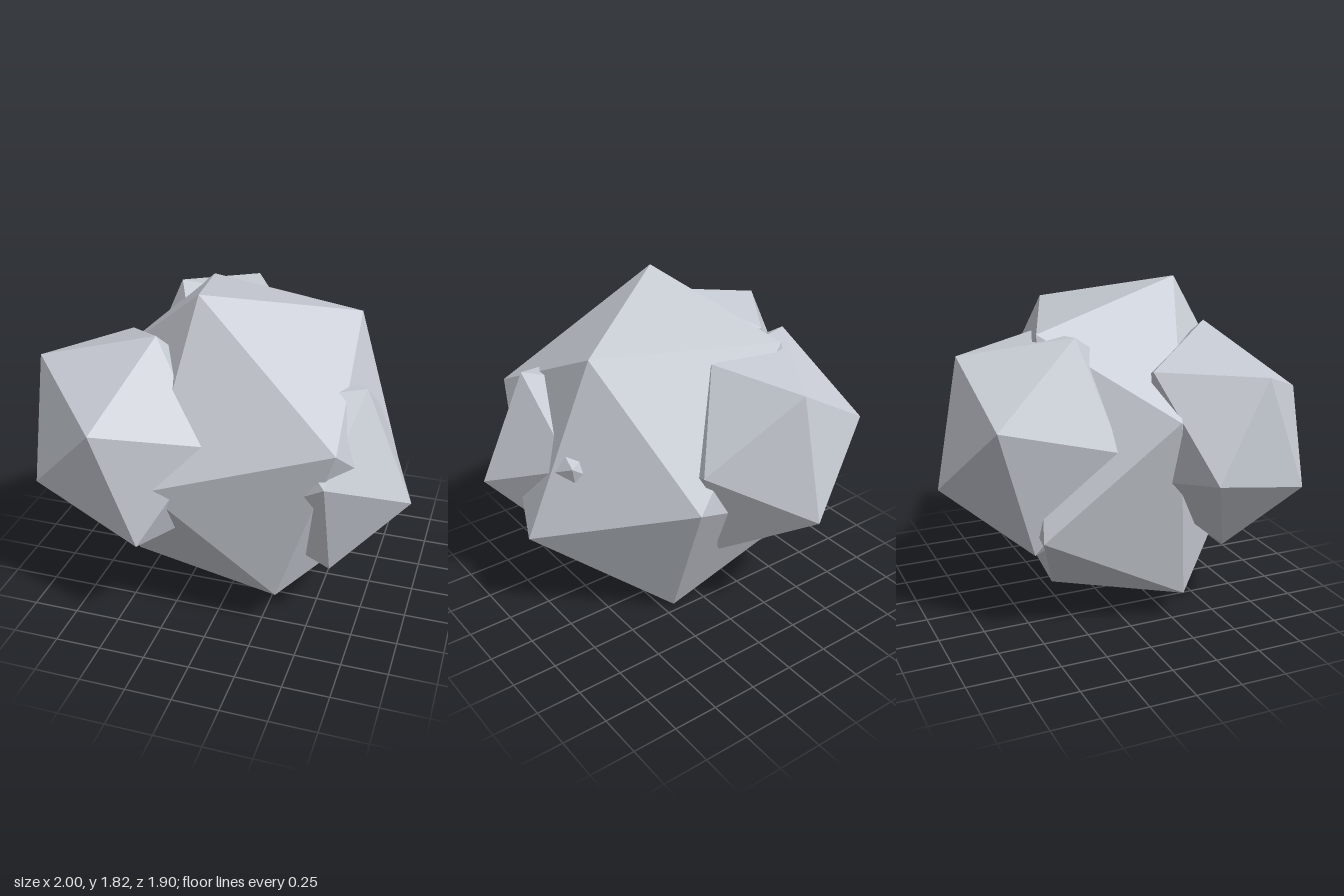
import * as THREE from 'three';
import { ConvexGeometry } from 'three/addons/geometries/ConvexGeometry.js';

const stone = new THREE.MeshStandardMaterial({ color: 0xc8ccd4 });
stone.name = 'pale grey stone';

// A faceted boulder: the hull of its corners, plus the first `mirrored`
// corners reflected through the centre to complete the twelve-cornered rock.
function boulder(name, corners, centre = [0, 0, 0], mirrored = 0) {
  const points = corners.map((p) => new THREE.Vector3(...p));
  const c = new THREE.Vector3(...centre);
  for (let i = 0; i < mirrored; i++) {
    points.push(c.clone().multiplyScalar(2).sub(points[i]));
  }
  const mesh = new THREE.Mesh(new ConvexGeometry(points), stone);
  mesh.name = name;
  return mesh;
}

export function createModel() {
  const group = new THREE.Group();
  group.name = 'rock';

  // Large central mass
  group.add(boulder('mainRock', [
    [-0.11, 1.82, 0.41], [0.61, 1.63, -0.09], [-0.32, 1.61, -0.45],
    [0.67, 1.22, 0.735], [-0.25, 0.94, 0.865], [-0.8, 1.22, 0.12],
    [0.94, 0.63, 0.05], [0.31, 0.88, -0.62], [-0.58, 0.6, -0.52],
    [0.35, 0.25, 0.6], [-0.55, 0.165, 0.29], [0.18, 0, -0.2],
  ]));

  // Lump at the front, on the -x side
  group.add(boulder('frontLump', [
    [-0.94, 1.44, 0.52], [-0.5, 1.25, 0.95], [-0.9, 0.83, 0.77],
    [-0.31, 1.61, 0.49], [0.03, 1.17, 0.74], [-0.29, 0.64, 0.92],
    [-1, 0.94, 0.23], [-0.62, 0.45, 0.48], [-0.62, 1.44, 0.05],
  ], [-0.48, 1.04, 0.485], 3));

  // Lump at the back
  group.add(boulder('backLump', [
    [-0.16, 1.5, -0.82], [-0.19, 0.82, -0.95], [-0.46, 1.61, -0.3],
    [-0.62, 1.22, -0.76], [0.05, 1.55, -0.35], [-0.67, 1.06, -0.14],
    [-0.5, 0.51, -0.54], [0.27, 1.07, -0.585],
  ], [-0.2, 1.05, -0.38], 4));

  // Lump on the +x side
  group.add(boulder('sideLump', [
    [1, 0.83, 0.41], [0.74, 1.42, 0.38], [0.62, 1.03, 0.74],
    [0.62, 0.43, 0.53], [0.63, 0.45, -0.02], [0.75, 1.07, -0.12],
  ], [0.45, 0.9, 0.25], 6));

  return group;
}
